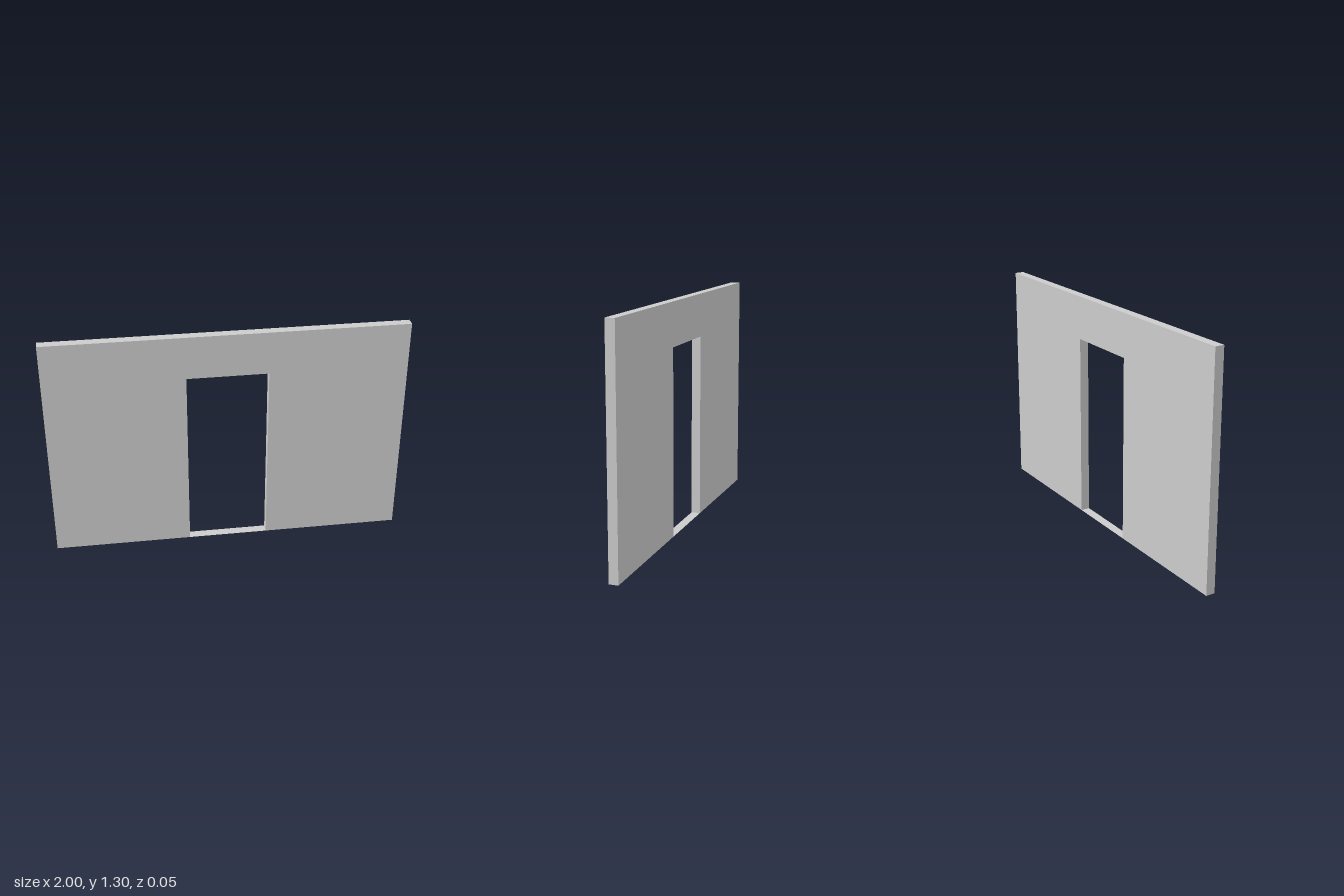
import * as THREE from 'three';

const WIDTH = 2, HEIGHT = 1.302, DEPTH = 0.052;
const DOOR_WIDTH = 0.452, DOOR_HEIGHT = 1.057;

export function createModel() {
  const group = new THREE.Group();
  group.name = 'wallWithDoorway';
  const material = new THREE.MeshStandardMaterial({ color: 0xcccccc });

  // Wall panel: outline with the doorway notched out of the bottom edge
  const w = WIDTH / 2, d = DOOR_WIDTH / 2;
  const outline = new THREE.Shape([
    [-w, 0], [-d, 0], [-d, DOOR_HEIGHT], [d, DOOR_HEIGHT],
    [d, 0], [w, 0], [w, HEIGHT], [-w, HEIGHT],
  ].map(([x, y]) => new THREE.Vector2(x, y)));
  const wallGeometry = new THREE.ExtrudeGeometry(outline, { depth: DEPTH, bevelEnabled: false });
  wallGeometry.translate(0, 0, -DEPTH / 2);
  const wall = new THREE.Mesh(wallGeometry, material);
  wall.name = 'wall';
  group.add(wall);

  // Paper-thin threshold across the foot of the doorway
  const thresholdMaterial = material.clone();
  thresholdMaterial.side = THREE.DoubleSide;
  const threshold = new THREE.Mesh(
    new THREE.PlaneGeometry(DOOR_WIDTH, DEPTH).rotateX(-Math.PI / 2),
    thresholdMaterial,
  );
  threshold.name = 'threshold';
  group.add(threshold);

  return group;
}
